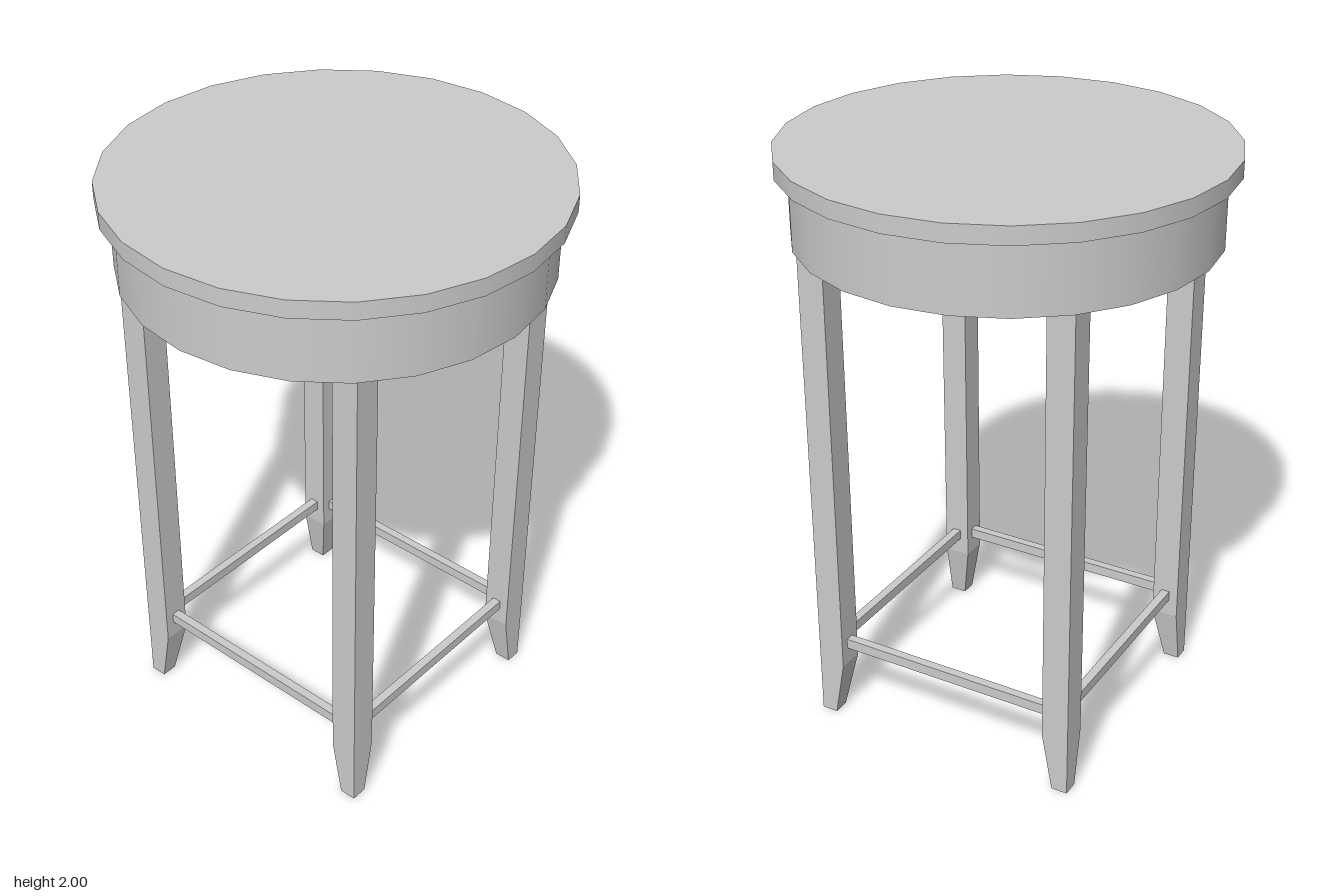
import * as THREE from 'three';

const material = new THREE.MeshStandardMaterial({ color: 0xcccccc });

function addMesh(parent, name, geometry, x, y, z) {
  const mesh = new THREE.Mesh(geometry, material);
  mesh.name = name;
  mesh.position.set(x, y, z);
  parent.add(mesh);
  return mesh;
}

// Leg dimensions: outer faces, section and foot taper
const OUT_X = 0.466, OUT_Z = 0.48, LEG_W = 0.091, LEG_D = 0.093;
const LEG_TOP = 1.71, FOOT_Y = 0.2, FOOT_SCALE = 0.6;
const MID_X = OUT_X - LEG_W / 2, MID_Z = OUT_Z - LEG_D / 2;

// Square leg whose two inner faces taper in toward the outer corner at the foot
function legGeometry(sx, sz) {
  const geo = new THREE.BoxGeometry(LEG_W, LEG_TOP, LEG_D, 1, 2, 1);
  geo.translate(sx * MID_X, LEG_TOP / 2, sz * MID_Z);
  const p = geo.attributes.position;
  for (let i = 0; i < p.count; i++) {
    const y = p.getY(i);
    if (y < 0.01) {
      p.setX(i, sx * OUT_X + (p.getX(i) - sx * OUT_X) * FOOT_SCALE);
      p.setZ(i, sz * OUT_Z + (p.getZ(i) - sz * OUT_Z) * FOOT_SCALE);
    } else if (y < LEG_TOP - 0.01) {
      p.setY(i, FOOT_Y);
    }
  }
  const flat = geo.toNonIndexed();
  flat.computeVertexNormals();
  return flat;
}

export function createModel() {
  const model = new THREE.Group();
  model.name = 'stool';

  // Round seat and the deep apron drum below it
  addMesh(model, 'seat', new THREE.CylinderGeometry(0.724, 0.724, 0.058, 24), 0, 1.971, 0);
  addMesh(model, 'apron', new THREE.CylinderGeometry(0.682, 0.682, 0.234, 24), 0, 1.826, 0);

  // Four legs
  for (const sx of [-1, 1]) {
    for (const sz of [-1, 1]) {
      addMesh(model, 'leg', legGeometry(sx, sz), 0, 0, 0);
    }
  }

  // Square frames of thin bars between the legs: under the apron and near the floor
  const bars = [
    { name: 'topRail', y: 1.698, h: 0.026, w: 0.036 },
    { name: 'stretcher', y: 0.278, h: 0.036, w: 0.03 },
  ];
  for (const { name, y, h, w } of bars) {
    for (const s of [-1, 1]) {
      addMesh(model, name, new THREE.BoxGeometry(2 * MID_X, h, w), 0, y, s * MID_Z);
      addMesh(model, name, new THREE.BoxGeometry(w, h, 2 * MID_Z), s * MID_X, y, 0);
    }
  }

  return model;
}
